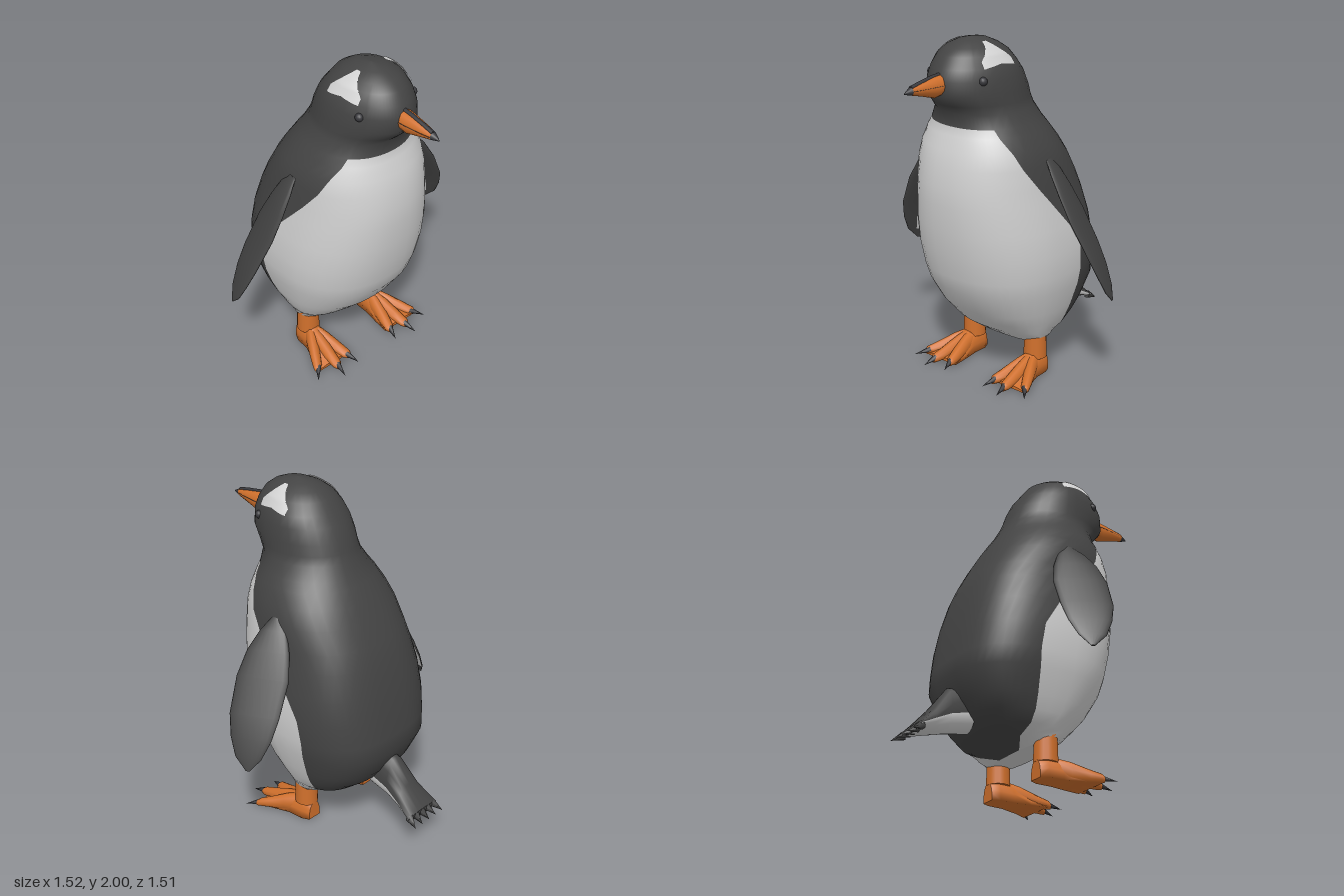
import * as THREE from 'three';

const mat = (name, color, side = THREE.FrontSide) => {
  const m = new THREE.MeshStandardMaterial({ color, side });
  m.name = name;
  return m;
};

// Skin a list of closed rings; pick(i, j) chooses the material of each quad
function loft(name, rings, mats, pick = () => 0) {
  const n = rings[0].length, last = rings.length - 1;
  const pos = rings.flat(2);
  const faces = mats.map(() => []);
  for (let i = 0; i < last; i++) for (let j = 0; j < n; j++) {
    const k = (j + 1) % n, a = i * n + j, b = i * n + k;
    faces[pick(i, j)].push([a, b, b + n], [a, b + n, a + n]);
  }
  // end caps with their own vertices
  for (const [i, q, flip] of [[0, 0, true], [last, last - 1, false]]) {
    const base = pos.length / 3;
    const mid = [0, 1, 2].map(c => rings[i].reduce((s, p) => s + p[c], 0) / n);
    pos.push(...rings[i].flat(), ...mid);
    for (let j = 0; j < n; j++) {
      const a = base + j, b = base + (j + 1) % n;
      faces[pick(q, 0)].push(flip ? [b, a, base + n] : [a, b, base + n]);
    }
  }
  // turn the skin outwards if the rings ran the other way
  const at = i => new THREE.Vector3().fromArray(pos, i * 3);
  let volume = 0;
  for (const [a, b, c] of faces.flat()) volume += at(a).dot(at(b).cross(at(c)));
  if (volume < 0) faces.flat().forEach(f => f.reverse());
  const geo = new THREE.BufferGeometry();
  geo.setAttribute('position', new THREE.Float32BufferAttribute(pos, 3));
  geo.setIndex(faces.flat(2));
  let start = 0;
  faces.forEach((f, i) => { geo.addGroup(start, f.length * 3, i); start += f.length * 3; });
  geo.computeVertexNormals();
  const mesh = new THREE.Mesh(geo, mats);
  mesh.name = name;
  return mesh;
}

// Body sections: y, half width, front z, back z, z of widest point, z of colour edge
const BODY = [
  [0.2, 0.28, 0.05, -0.1, -0.03, -0.16], [0.235, 0.305, 0.1, -0.19, -0.03, -0.165],
  [0.28, 0.325, 0.165, -0.31, -0.04, -0.16], [0.345, 0.355, 0.23, -0.39, -0.04, -0.155],
  [0.42, 0.385, 0.3, -0.445, -0.04, -0.16], [0.56, 0.428, 0.39, -0.51, -0.04, -0.17],
  [0.66, 0.446, 0.425, -0.5, -0.03, -0.175], [0.8, 0.456, 0.46, -0.48, -0.02, -0.155],
  [0.95, 0.445, 0.485, -0.45, 0, -0.06], [1.1, 0.422, 0.497, -0.41, 0.02, 0.07],
  [1.2, 0.41, 0.497, -0.37, 0.03, 0.155], [1.32, 0.397, 0.485, -0.31, 0.05, 0.245],
  [1.41, 0.37, 0.462, -0.26, 0.08, 0.285], [1.49, 0.33, 0.435, -0.21, 0.11, 0.32],
  [1.535, 0.3, 0.42, -0.18, 0.13], [1.61, 0.26, 0.42, -0.14, 0.16],
  [1.66, 0.25, 0.47, -0.12, 0.17], [1.72, 0.247, 0.52, -0.1, 0.18],
  [1.8, 0.235, 0.52, -0.06, 0.19], [1.86, 0.215, 0.495, -0.015, 0.2],
  [1.92, 0.175, 0.455, 0.03, 0.22], [1.957, 0.13, 0.405, 0.085, 0.245],
  [1.985, 0.07, 0.34, 0.15, 0.245], [2, 0.002, 0.248, 0.242, 0.245],
];
const frontPower = y => THREE.MathUtils.lerp(0.88, 1.05, THREE.MathUtils.smoothstep(y, 1.4, 1.75));
const backPower = y => THREE.MathUtils.lerp(0.72, 1, THREE.MathUtils.smoothstep(y, 0.9, 1.7));

function edgeAngle([y, , zf, zb, zc, edge]) {
  if (edge === undefined) return 0.85;
  const c = edge > zc ? Math.pow((edge - zc) / (zf - zc), 1 / frontPower(y))
    : -Math.pow((zc - edge) / (zc - zb), 1 / backPower(y));
  return Math.min(2.9, Math.acos(Math.max(-1, c)));
}

function bodyRing(row) {
  const [y, w, zf, zb, zc] = row, e = edgeAngle(row), ring = [];
  for (let j = 0; j < 44; j++) {
    const t = j < 11 ? e * j / 11 : j <= 33 ? e + (2 * Math.PI - 2 * e) * (j - 11) / 22
      : 2 * Math.PI - e * (44 - j) / 11;
    const s = Math.sin(t), c = Math.cos(t), p = c > 0 ? frontPower(y) : backPower(y);
    ring.push([w * Math.sign(s) * Math.abs(s) ** p, y,
      zc + Math.sign(c) * Math.abs(c) ** p * (c > 0 ? zf - zc : zc - zb)]);
  }
  return ring;
}

// Half width of the body surface at a given height and depth
function surfaceX(y, z) {
  const i = Math.max(1, BODY.findIndex(r => r[0] >= y)), a = BODY[i - 1], b = BODY[i];
  const f = (y - a[0]) / (b[0] - a[0]);
  const [w, zf, zb, zc] = [1, 2, 3, 4].map(k => a[k] + (b[k] - a[k]) * f);
  const p = z > zc ? frontPower(y) : backPower(y);
  const t = Math.min(1, z > zc ? (z - zc) / (zf - zc) : (zc - z) / (zc - zb));
  return w * Math.pow(1 - Math.pow(t, 2 / p), p / 2);
}

// Oval ring facing along z
const oval = (x, z, w, top, bottom, n = 14) => Array.from({ length: n }, (_, j) => {
  const t = j / n * 2 * Math.PI;
  return [x + w * Math.cos(t), (top + bottom) / 2 + (top - bottom) / 2 * Math.sin(t), z];
});

// Cone running from point a to its tip at b
function spike(name, a, b, r, material, sides = 8) {
  const from = new THREE.Vector3(...a), dir = new THREE.Vector3(...b).sub(from);
  const mesh = new THREE.Mesh(new THREE.ConeGeometry(r, dir.length(), sides), material);
  mesh.name = name;
  mesh.position.copy(from).addScaledVector(dir, 0.5);
  mesh.quaternion.setFromUnitVectors(new THREE.Vector3(0, 1, 0), dir.normalize());
  return mesh;
}

export function createModel() {
  const model = new THREE.Group();
  model.name = 'penguin';
  const dark = mat('dark plumage', 0x444444), white = mat('white plumage', 0xd2d2d2);
  const orange = mat('orange skin', 0xd0702c), horn = mat('dark horn', 0x38383c);
  const patchWhite = mat('white patch', 0xd2d2d2, THREE.DoubleSide);

  // body and head in one skin, with a white front below the throat
  model.add(loft('body', BODY.map(bodyRing), [dark, white],
    (i, j) => (BODY[i + 1][0] < 1.54 && (j < 11 || j >= 33) ? 1 : 0)));

  // beak, its dark ridge, mouth line and tip: z, half width, top, bottom
  const beak = [[0.44, 0.056, 1.84, 1.73], [0.55, 0.05, 1.832, 1.715], [0.64, 0.037, 1.817, 1.742],
    [0.71, 0.023, 1.803, 1.76], [0.755, 0.002, 1.78, 1.772]];
  model.add(loft('beak', beak.slice(0, 4).map(([z, w, t, b]) => oval(0, z, w, t, b)), [orange]));
  model.add(loft('beakTip', beak.slice(3).map(([z, w, t, b]) => oval(0, z, w, t, b)), [horn]));
  model.add(loft('beakRidge', beak.slice(0, 4).map(([z, , t]) => oval(0, z, 0.014, t + 0.007, t - 0.02)), [horn]));
  model.add(loft('mouthLine', beak.slice(0, 4).map(([z, w]) => oval(0, z, w + 0.002, 1.785, 1.78)), [horn]));

  // tail: z, half width, top, edge height, bottom
  const tail = [[-0.36, 0.075, 0.55, 0.37, 0.27], [-0.5, 0.085, 0.5, 0.335, 0.245],
    [-0.6, 0.1, 0.365, 0.285, 0.222], [-0.705, 0.125, 0.245, 0.228, 0.203]];
  model.add(loft('tail', tail.map(([z, w, top, edge, low]) => Array.from({ length: 20 }, (_, j) => {
    const t = j / 20 * 2 * Math.PI, s = Math.sin(t);
    return [w * Math.cos(t), edge + s * (s > 0 ? top - edge : edge - low), z];
  })), [dark, white], (i, j) => (j < 10 ? 0 : 1)));
  for (let k = -2; k <= 2; k++)
    model.add(spike('tailFeather', [k * 0.05, 0.226, -0.69], [k * 0.06, 0.192, -0.755], 0.026, dark, 6));

  // flipper sections: y, leading x and z, trailing x and z, half thickness
  const flipper = [[1.345, 0.385, 0.08, 0.38, 0.03, 0.008], [1.28, 0.45, 0.11, 0.385, -0.03, 0.02],
    [1.18, 0.53, 0.135, 0.42, -0.08, 0.024], [1.05, 0.61, 0.14, 0.475, -0.125, 0.024],
    [0.865, 0.705, 0.106, 0.575, -0.145, 0.02], [0.75, 0.742, 0.065, 0.638, -0.143, 0.016],
    [0.65, 0.76, 0.015, 0.695, -0.12, 0.012], [0.58, 0.752, -0.055, 0.742, -0.075, 0.004]];

  for (const s of [1, -1]) {
    const side = new THREE.Group();
    side.name = s > 0 ? 'leftSide' : 'rightSide';
    model.add(side);

    // flipper, dark outside with a white area on the inner face
    side.add(loft('flipper', flipper.map(([y, fx, fz, bx, bz, h]) => Array.from({ length: 20 }, (_, j) => {
      const a = j / 20 * 2 * Math.PI, u = (1 + Math.cos(a)) / 2, o = h * Math.sin(a);
      return [s * (bx + (fx - bx) * u + 0.82 * o), y + 0.49 * o, bz + (fz - bz) * u - 0.39 * o];
    })), [dark, white], (i, j) => (j >= 11 && j < 16 && i > 0 && i < 6 ? 1 : 0)));

    // white patch laid over the head above the eye
    const patch = new THREE.PlaneGeometry(1, 1, 14, 14), p = patch.attributes.position;
    for (let i = 0; i < p.count; i++) {
      const u = p.getX(i) * 2, v = 0.5 - p.getY(i);
      const low = 1.855 + 0.017 * (1 - Math.abs(u));
      const y = 1.98 - v * (1.98 - low), z = 0.248 + u * Math.min(0.107, 0.015 + v * 0.13);
      p.setXYZ(i, s * (surfaceX(y, z) + 0.006), y + 0.004, z);
    }
    patch.computeVertexNormals();
    const patchMesh = new THREE.Mesh(patch, patchWhite);
    patchMesh.name = 'eyePatch';
    side.add(patchMesh);

    const eye = new THREE.Mesh(new THREE.SphereGeometry(0.024, 14, 10), horn);
    eye.name = 'eye';
    eye.position.set(s * (surfaceX(1.8, 0.365) - 0.008), 1.8, 0.365);
    side.add(eye);

    // leg
    const leg = new THREE.Mesh(new THREE.CylinderGeometry(0.064, 0.068, 0.18, 16), orange);
    leg.name = 'leg';
    leg.position.set(s * 0.238, 0.19, -0.02);
    side.add(leg);

    // webbed foot with a flat sole: z, inner x, outer x, top
    const foot = [[-0.085, 0.195, 0.285, 0.11], [-0.04, 0.175, 0.305, 0.135], [0.05, 0.175, 0.31, 0.13],
      [0.15, 0.16, 0.345, 0.065], [0.25, 0.15, 0.375, 0.025]];
    side.add(loft('foot', foot.map(([z, a, b, top]) => Array.from({ length: 13 }, (_, j) => {
      const t = j / 12 * Math.PI;
      return [s * ((a + b) / 2 + (b - a) / 2 * Math.cos(t)), 0.004 + (top - 0.004) * Math.sin(t) ** 0.7, z];
    })), [orange]));

    // toes and claws: tip x, tip z, claw x, claw z
    for (const [tx, tz, cx, cz] of [[0.17, 0.28, 0.15, 0.345], [0.275, 0.31, 0.285, 0.378], [0.385, 0.25, 0.43, 0.305]]) {
      const toe = [0, 0.35, 0.7, 0.93, 1].map((f, i) => oval(s * (0.24 + (tx - 0.24) * f), tz * f,
        [0.045, 0.042, 0.037, 0.03, 0.014][i], [0.14, 0.115, 0.075, 0.052, 0.036][i], 0.002, 10));
      side.add(loft('toe', toe, [orange]));
      side.add(spike('claw', [s * (tx - (cx - tx) * 0.3), 0.03, tz - 0.02], [s * cx, 0.006, cz], 0.019, horn));
    }
  }
  return model;
}
